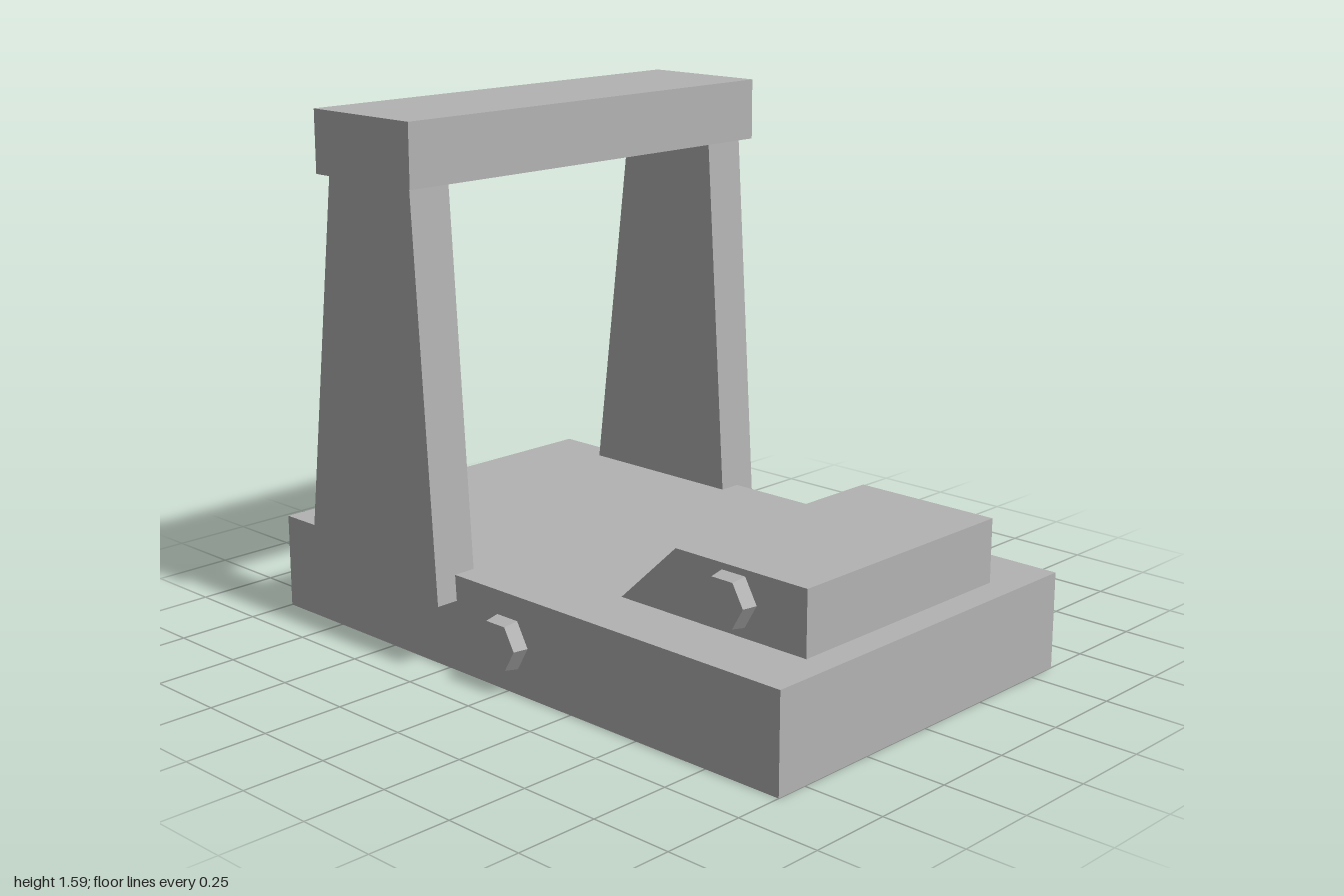
import * as THREE from 'three';

export function createModel() {
  const model = new THREE.Group();
  model.name = 'archedBase';
  const grey = new THREE.MeshStandardMaterial({ color: 0xb3b3b3 });
  grey.name = 'grey';

  const add = (name, geometry, x = 0, y = 0, z = 0) => {
    const mesh = new THREE.Mesh(geometry, grey);
    mesh.name = name;
    mesh.position.set(x, y, z);
    model.add(mesh);
    return mesh;
  };

  // Flat side profile in x/y, extruded along z and centred on z = 0
  const slab = (points, depth) => {
    const shape = new THREE.Shape(points.map(([x, y]) => new THREE.Vector2(x, y)));
    return new THREE.ExtrudeGeometry(shape, { depth, bevelEnabled: false })
      .translate(0, 0, -depth / 2);
  };

  // Tapered hexagonal bolt head, flat faced, standing out along +z from z = 0
  const boltHead = () => {
    const geometry = new THREE.CylinderGeometry(0.074, 0.082, 0.045, 6, 1, false, Math.PI / 2)
      .rotateX(Math.PI / 2).translate(0, 0, 0.0225).toNonIndexed();
    geometry.computeVertexNormals();
    return geometry;
  };

  // Base plate and top beam
  add('basePlate', new THREE.BoxGeometry(2, 0.29, 1.2), 0, 0.145, 0);
  add('topBeam', new THREE.BoxGeometry(0.41, 0.185, 1.39), -0.46, 1.4925, 0);

  // Sloped block on the plate
  add('slopedBlock', slab([[0.25, 0.29], [0.915, 0.29], [0.915, 0.48], [0.455, 0.48]], 0.8));

  // Mirrored legs and bolts, front and back
  const legProfile = [[-0.79, 0.213], [-0.213, 0.213], [-0.288, 1.4], [-0.638, 1.4]];
  for (const [side, s] of [['front', 1], ['back', -1]]) {
    add(side + 'Leg', slab(legProfile, 0.14), 0, 0, s * 0.6);
    const turn = s > 0 ? 0 : Math.PI;
    add(side + 'PlateBolt', boltHead(), 0, 0.147, s * 0.6).rotation.y = turn;
    add(side + 'BlockBolt', boltHead(), 0.663, 0.39, s * 0.4).rotation.y = turn;
  }
  return model;
}
